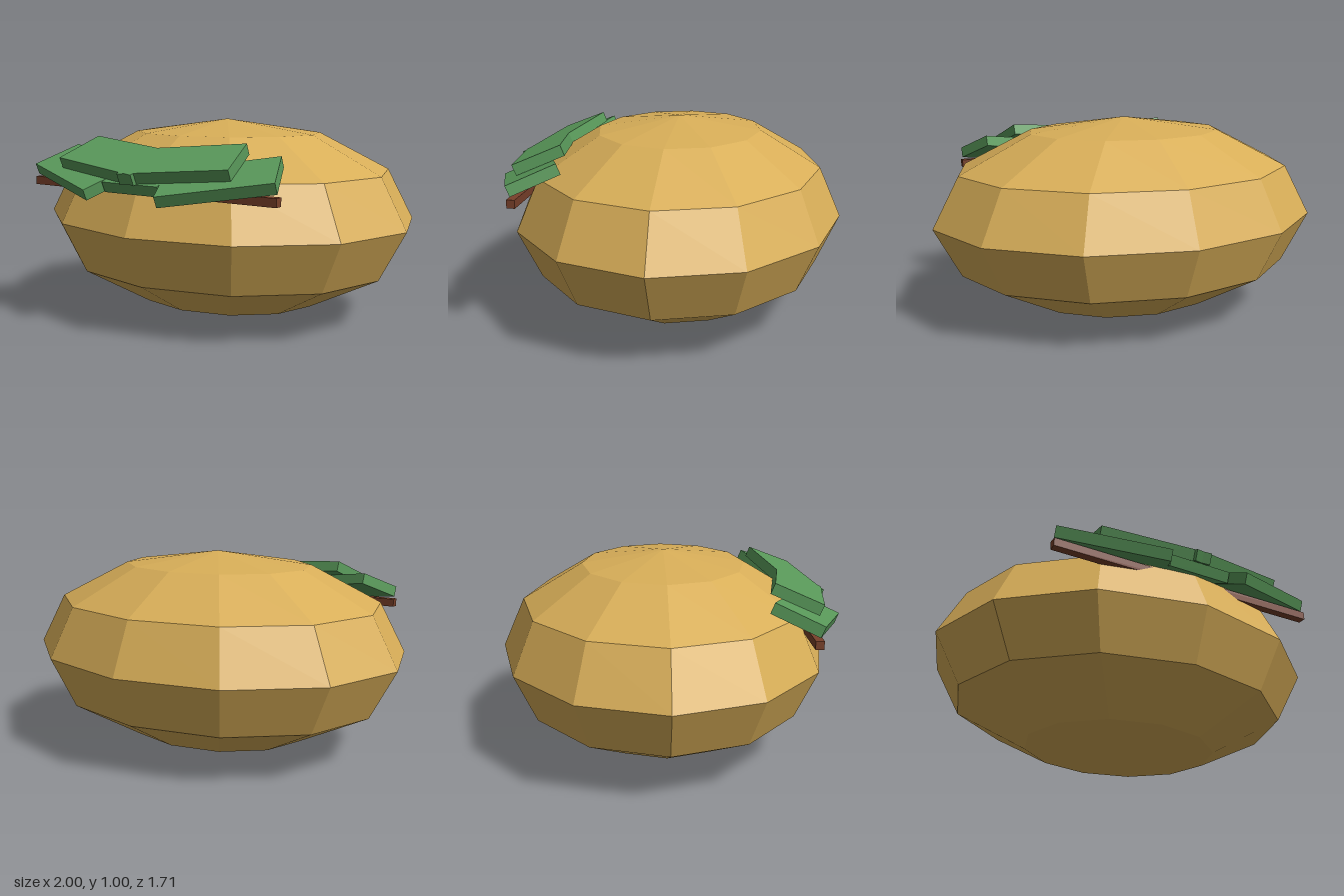
import * as THREE from 'three';

export function createModel() {
  const model = new THREE.Group();
  const material = (name, color) => {
    const m = new THREE.MeshStandardMaterial({ color, flatShading: true });
    m.name = name;
    return m;
  };
  const gold = material('gold', 0xd8ae58);
  const green = material('leaf green', 0x59995a);
  const brown = material('brown', 0x78402a);

  const add = (parent, name, geometry, mat, x, y, z) => {
    const mesh = new THREE.Mesh(geometry, mat);
    mesh.name = name;
    mesh.position.set(x, y, z);
    parent.add(mesh);
    return mesh;
  };

  // Faceted, flattened body
  const bodyShape = new THREE.SphereGeometry(1, 12, 6);
  bodyShape.scale(1, 0.5, 0.832);
  add(model, 'body', bodyShape, gold, 0, 0.5, -0.02);

  // Thin rod running under the slats
  add(model, 'rod', new THREE.BoxGeometry(1.4, 0.04, 0.04), brown, 0, 0.7, 0.65);

  // Tilted visor of overlapping slats in two layers
  const visor = new THREE.Group();
  visor.name = 'visor';
  visor.position.set(0, 0.765, 0.6475);
  visor.rotation.x = 0.393;
  model.add(visor);

  add(visor, 'centreSlat', new THREE.BoxGeometry(0.32, 0.053, 0.25), green, 0, 0, 0.005);
  const slat = new THREE.BoxGeometry(0.53, 0.055, 0.25);
  const topSlat = new THREE.BoxGeometry(0.54, 0.055, 0.25);
  for (const [side, s] of [['left', 1], ['right', -1]]) {
    add(visor, side + 'LowerSlat', slat, green, s * 0.4025, 0, 0).rotation.y = s * 0.38;
    add(visor, side + 'UpperSlat', topSlat, green, s * 0.2, 0.056, -0.033).rotation.y = s * 0.2;
  }

  return model;
}
